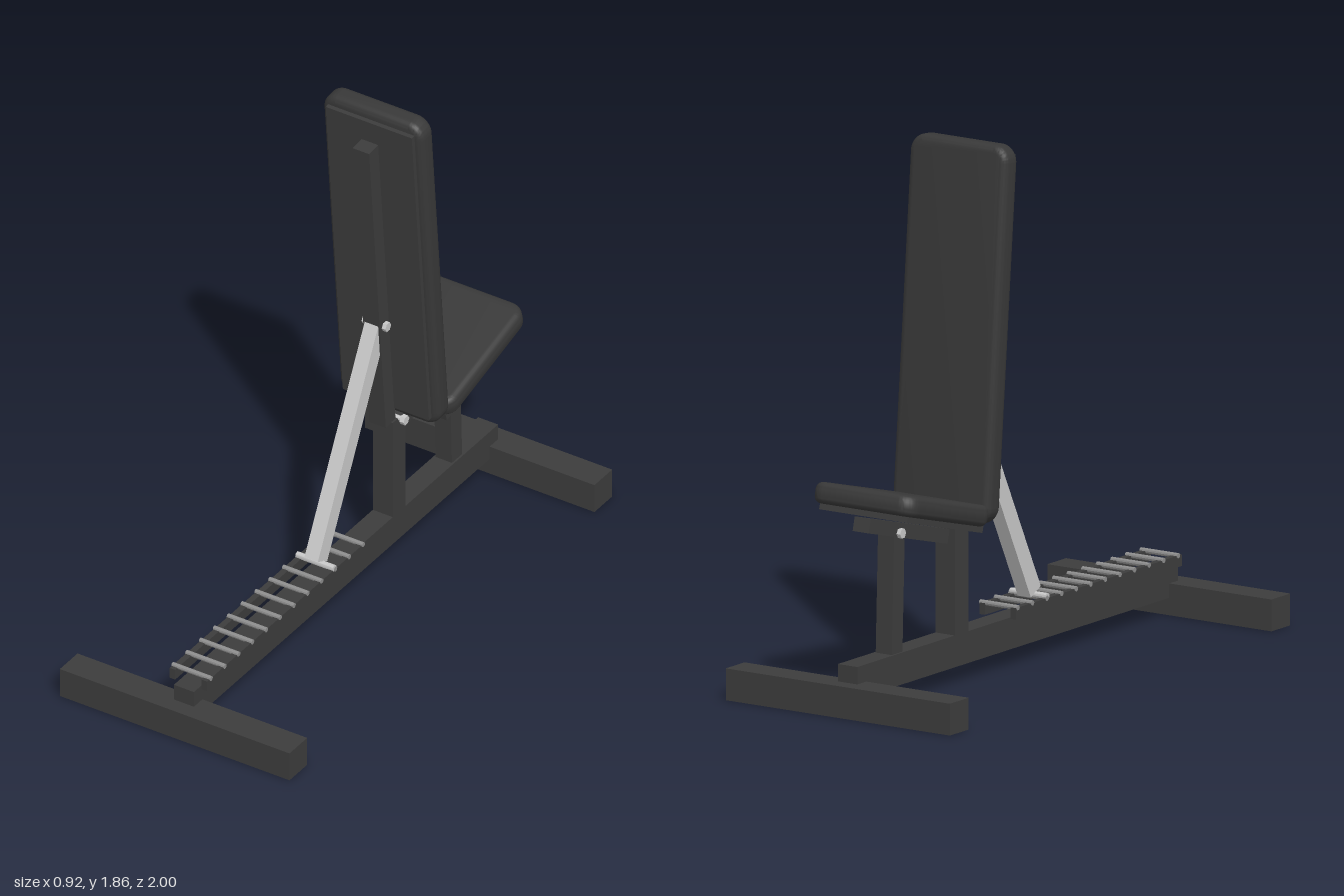
import * as THREE from 'three';
import { toCreasedNormals } from 'three/addons/utils/BufferGeometryUtils.js';

const mat = (name, color) => {
  const m = new THREE.MeshStandardMaterial({ color });
  m.name = name;
  return m;
};

export function createModel() {
  const frame = mat('frame charcoal', 0x3c3c3c);
  const vinyl = mat('pad vinyl', 0x383838);
  const steel = mat('bright steel', 0xc8c8c8);
  const rungSteel = mat('rung steel', 0x8c8c8c);
  const model = new THREE.Group();
  model.name = 'adjustableBench';

  const add = (name, geometry, material, x, y, z, tilt = 0) => {
    const mesh = new THREE.Mesh(geometry, material);
    mesh.name = name;
    mesh.position.set(x, y, z);
    mesh.rotation.x = tilt;
    model.add(mesh);
    return mesh;
  };
  const box = (name, m, w, h, d, x, y, z, tilt) =>
    add(name, new THREE.BoxGeometry(w, h, d), m, x, y, z, tilt);

  // Cross rod or bolt along x
  const rod = (name, m, radius, length, x, y, z, sides = 10) => {
    const g = new THREE.CylinderGeometry(radius, radius, length, sides).rotateZ(Math.PI / 2);
    return add(name, toCreasedNormals(g, 0.7), m, x, y, z);
  };

  // Cushion: rounded rectangle in xy with softened rims, centred on its thickness
  const padGeometry = (w, l, t, corner, rim) => {
    const hw = w / 2 - rim, hl = l / 2 - rim, r = corner - rim;
    const s = new THREE.Shape();
    s.moveTo(-hw + r, -hl);
    s.absarc(hw - r, -hl + r, r, -Math.PI / 2, 0);
    s.absarc(hw - r, hl - r, r, 0, Math.PI / 2);
    s.absarc(-hw + r, hl - r, r, Math.PI / 2, Math.PI);
    s.absarc(-hw + r, -hl + r, r, Math.PI, Math.PI * 1.5);
    const g = new THREE.ExtrudeGeometry(s, {
      depth: t - 2 * rim, bevelSize: rim, bevelThickness: rim, bevelSegments: 5, curveSegments: 8,
    });
    g.translate(0, 0, -t / 2 + rim);
    return toCreasedNormals(g, 0.6);
  };

  // Base: two cross feet and the spine beam
  for (const s of [1, -1]) box(s > 0 ? 'frontFoot' : 'rearFoot', frame, 0.92, 0.11, 0.11, 0, 0.055, s * 0.945);
  box('spineBeam', frame, 0.08, 0.11, 1.885, 0, 0.115, 0);

  // Posts
  box('mainPost', frame, 0.08, 0.39, 0.08, 0, 0.36, -0.33);
  box('seatPost', frame, 0.066, 0.44, 0.063, 0, 0.38, -0.692, 0.033);

  // Backrest
  const backTilt = THREE.MathUtils.degToRad(5);
  add('backPad', padGeometry(0.4, 1.295, 0.08, 0.06, 0.025), vinyl, 0, 1.215, -0.312, backTilt);
  box('backBoard', frame, 0.345, 1.22, 0.024, 0, 1.2125, -0.268, backTilt);
  box('backTube', frame, 0.066, 1.185, 0.06, 0, 1.143, -0.236, backTilt);

  // Seat
  const seatTilt = THREE.MathUtils.degToRad(15);
  add('seatPad', padGeometry(0.42, 0.51, 0.073, 0.06, 0.025), vinyl, 0, 0.667, -0.626, seatTilt - Math.PI / 2);
  box('seatBoard', frame, 0.36, 0.026, 0.46, 0, 0.622, -0.627, seatTilt);
  box('seatTube', frame, 0.066, 0.05, 0.48, 0, 0.578, -0.628, seatTilt);

  // Support strut from the ladder up to the back tube
  const low = new THREE.Vector3(0, 0.225, 0.125), high = new THREE.Vector3(0, 0.973, -0.25);
  const dir = high.clone().sub(low), mid = low.clone().add(high).multiplyScalar(0.5);
  box('supportStrut', steel, 0.054, dir.length(), 0.065, 0, mid.y, mid.z, Math.atan2(dir.z, dir.y));
  rod('strutPin', steel, 0.012, 0.15, 0, 0.215, 0.125);

  // Pivot bolts with hexagonal heads
  const pivots = [['strutBolt', 0.973, -0.25, 0.045], ['backBolt', 0.553, -0.33, 0.066], ['seatBolt', 0.583, -0.685, 0.045]];
  for (const [name, y, z, reach] of pivots) {
    rod(name + 'Shaft', steel, 0.009, reach * 2, 0, y, z);
    for (const s of [1, -1]) rod(name + 'Head', steel, 0.018, 0.018, s * (reach - 0.006), y, z, 6);
  }

  // Adjustment ladder: side rails and rungs
  for (const s of [1, -1]) box('ladderRail', frame, 0.022, 0.04, 0.975, s * 0.064, 0.19, 0.4275);
  for (let i = 0; i < 12; i++) rod('ladderRung', rungSteel, 0.009, 0.155, 0, 0.21, 0.892 - i * 0.0857);

  return model;
}
